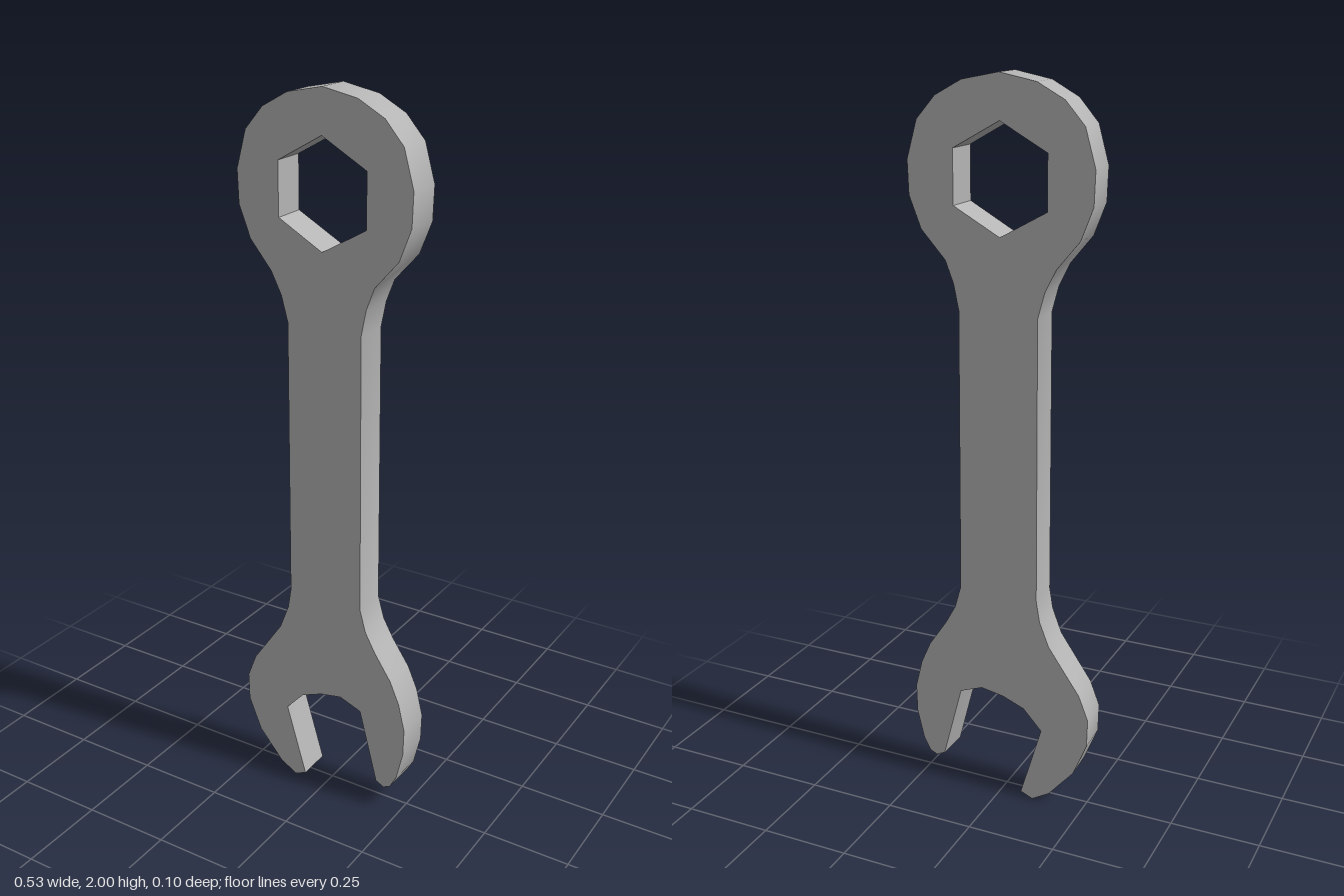
import * as THREE from 'three';
import { toCreasedNormals } from 'three/addons/utils/BufferGeometryUtils.js';

const BACK = -0.05, DEPTH = 0.097;

// Outline, clockwise from the top of the ring
const ringRight = [[0, 2], [0.1, 1.98], [0.173, 1.94], [0.225, 1.88], [0.253, 1.78], [0.25, 1.69], [0.217, 1.605]];
const shankRight = [[0.15, 1.53], [0.127, 1.47], [0.113, 1.4], [0.117, 0.62], [0.135, 0.555], [0.165, 0.5]];
const jawRight = [[0.215, 0.425], [0.243, 0.36], [0.262, 0.28], [0.26, 0.2], [0.24, 0.115], [0.22, 0.078], [0.2, 0.068], [0.175, 0.08]];
const mouth = [[0.12, 0.295], [0.055, 0.32], [-0.01, 0.308], [-0.072, 0.283], [-0.125, 0.225], [-0.065, 0.015]];
const jawLeft = [[-0.1, 0], [-0.15, 0.03], [-0.222, 0.115], [-0.26, 0.21], [-0.262, 0.29], [-0.235, 0.36], [-0.19, 0.425]];
const shankLeft = [[-0.145, 0.49], [-0.118, 0.56], [-0.108, 0.62], [-0.106, 1.4], [-0.125, 1.47], [-0.155, 1.53]];
const ringLeft = ringRight.slice(1).reverse().map(([x, y]) => [-x, y]);

const toPoints = (list) => list.map(([x, y]) => new THREE.Vector2(x, y));

export function createModel() {
  const steel = new THREE.MeshStandardMaterial({ color: 0xb4b4b4 });
  steel.name = 'steel grey';

  const shape = new THREE.Shape(toPoints([
    ...ringRight, ...shankRight, ...jawRight, ...mouth, ...jawLeft, ...shankLeft, ...ringLeft,
  ]));

  // Hexagonal socket in the ring end
  const hex = [];
  for (let i = 0; i < 6; i++) {
    const a = Math.PI / 2 + i * Math.PI / 3;
    hex.push([-0.002 + 0.147 * Math.cos(a), 1.742 + 0.143 * Math.sin(a)]);
  }
  shape.holes.push(new THREE.Path(toPoints(hex)));

  const body = new THREE.ExtrudeGeometry(shape, { depth: DEPTH, bevelEnabled: false });
  body.translate(0, 0, BACK);

  // The back face is very slightly wider than the front
  const pos = body.attributes.position;
  for (let i = 0; i < pos.count; i++) {
    if (pos.getZ(i) < 0) pos.setX(i, pos.getX(i) * 1.015);
  }

  const wrench = new THREE.Mesh(toCreasedNormals(body, 0.75), steel);
  wrench.name = 'wrenchBody';

  const group = new THREE.Group();
  group.name = 'wrench';
  group.add(wrench);
  return group;
}
